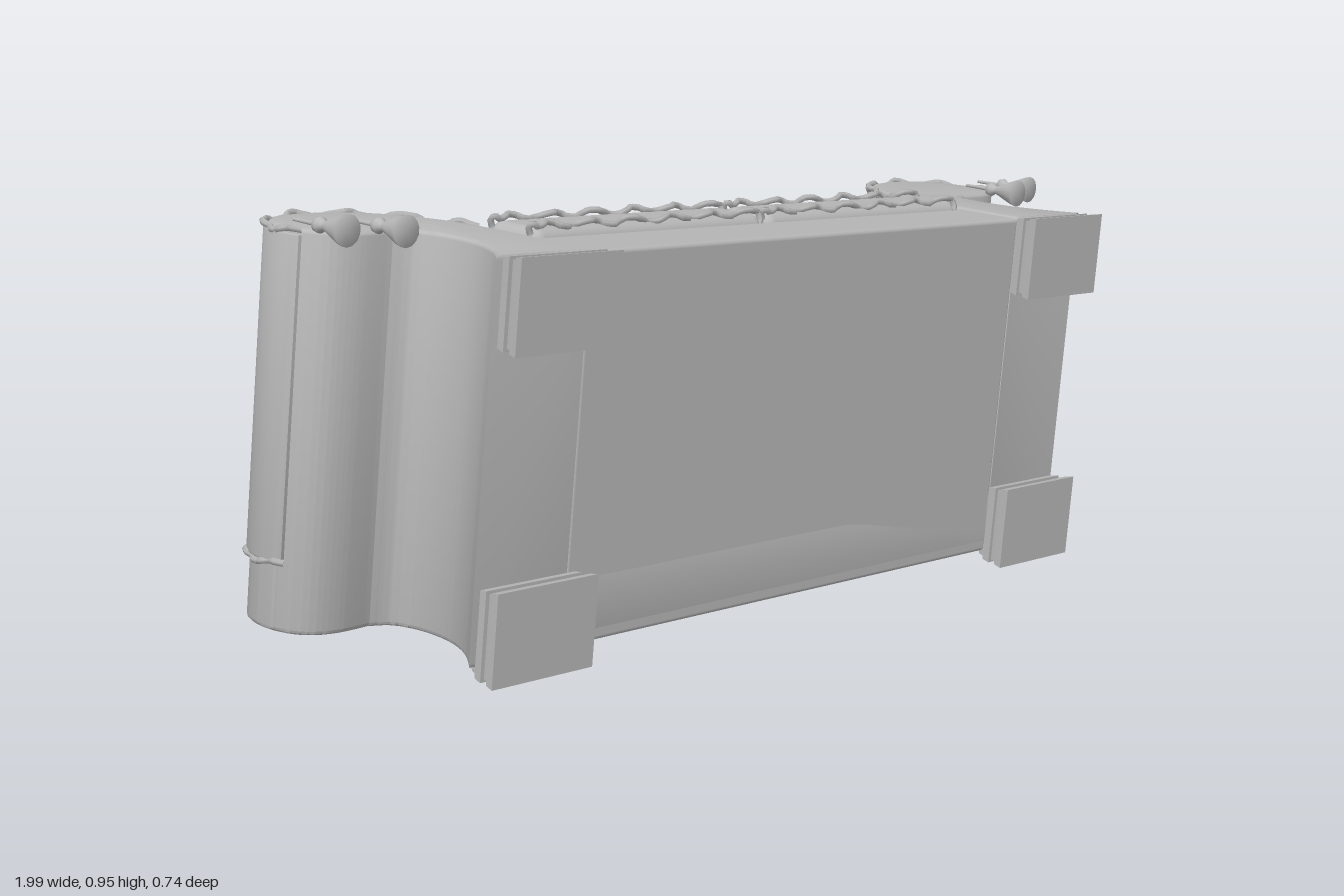
import * as THREE from 'three';
import { toCreasedNormals } from 'three/addons/utils/BufferGeometryUtils.js';
import { RoundedBoxGeometry } from 'three/addons/geometries/RoundedBoxGeometry.js';

const gray = new THREE.MeshStandardMaterial({ color: 0xb8b8b8 });
gray.name = 'grayUpholstery';

function add(parent, name, geometry, x = 0, y = 0, z = 0) {
  const mesh = new THREE.Mesh(geometry, gray);
  mesh.name = name;
  mesh.position.set(x, y, z);
  parent.add(mesh);
  return mesh;
}

const vectors = (list) => list.map(([x, y]) => new THREE.Vector2(x, y));

// Solid with a rounded rim, filling z0..z1
function slab(shape, z0, z1, bevel) {
  const geometry = new THREE.ExtrudeGeometry(shape, {
    depth: z1 - z0 - 2 * bevel, bevelThickness: bevel, bevelSize: bevel,
    bevelOffset: -bevel, bevelSegments: 3, curveSegments: 28,
  });
  geometry.translate(0, 0, z0 + bevel);
  return toCreasedNormals(geometry, 0.6);
}

// Ruffled trim: a thin tube that wobbles along a path
function ruffle(points, closed, radius = 0.006, wobble = 0.005) {
  const path = new THREE.CatmullRomCurve3(points, closed, 'catmullrom', 0.3);
  const count = Math.round(path.getLength() / 0.014);
  const wavy = path.getSpacedPoints(count).slice(0, closed ? -1 : undefined).map((p, i) => {
    const s = i % 2 ? wobble : -wobble;
    return p.add(new THREE.Vector3(s * 0.6, s * Math.cos(i * 1.7), s * Math.sin(i * 2.3)));
  });
  return new THREE.TubeGeometry(new THREE.CatmullRomCurve3(wavy, closed), count * 2, radius, 5, closed);
}

// Throw pillow: puffed grid with pinched sides and pointed corners
function pillowGeometry(width, height, thick) {
  const geometry = new THREE.BoxGeometry(2, 2, 2, 18, 18, 1);
  const p = geometry.attributes.position;
  for (let i = 0; i < p.count; i++) {
    const u = p.getX(i), v = p.getY(i);
    const puff = Math.sqrt(Math.max(0, (1 - u ** 4) * (1 - v ** 4)));
    p.setXYZ(i,
      u * width / 2 * (1 - 0.06 * (1 - v * v)),
      v * height / 2 * (1 - 0.06 * (1 - u * u)),
      p.getZ(i) * (0.006 + puff * thick / 2));
  }
  geometry.computeVertexNormals();
  return geometry;
}

function pillow(parent, x) {
  const group = new THREE.Group();
  group.name = 'backPillow';
  const w = 0.4, h = 0.41;
  add(group, 'pillowBody', pillowGeometry(w, h, 0.1));
  const rim = [];
  for (let side = 0; side < 4; side++) {
    for (let k = 0; k < 8; k++) {
      const t = -1 + k / 4;
      const [u, v] = [[t, -1], [1, t], [-t, 1], [-1, -t]][side];
      rim.push(new THREE.Vector3(u * w / 2 * (1 - 0.06 * (1 - v * v)), v * h / 2 * (1 - 0.06 * (1 - u * u)), 0));
    }
  }
  add(group, 'pillowFringe', ruffle(rim, true, 0.007, 0.006));
  group.position.set(x, 0.15, -0.075);
  group.rotation.x = -0.35;
  parent.add(group);
}

// Seat cushion with a ruffle around its upper and lower edges
function seatCushion(parent, x) {
  const w = 0.596, back = -0.2, front = 0.345;
  const body = new RoundedBoxGeometry(w, 0.122, front - back, 4, 0.025);
  add(parent, 'seatCushion', body, x, -0.105, (front + back) / 2);
  const c = 0.012;
  const [l, r, f, b] = [x - w / 2 + 0.004, x + w / 2 - 0.004, front + 0.003, back];
  for (const y of [-0.06, -0.15]) {
    const loop = [[l + c, f], [x, f], [r - c, f], [r, f - c], [r, 0], [r, b + c],
      [r - c, b], [x, b], [l + c, b], [l, b + c], [l, 0], [l, f - c]]
      .map(([px, pz]) => new THREE.Vector3(px, y, pz));
    add(parent, 'cushionFringe', ruffle(loop, true));
  }
}

// Moulded foot: stacked square tiers of [half width, half depth, y]
function foot(parent, x, z) {
  const tiers = [[-0.355, 0.018, 0.117], [-0.337, 0.014, 0.108], [-0.323, 0.018, 0.112], [-0.305, 0.016, 0.102]];
  tiers.forEach(([y, height, half]) => {
    const g = new THREE.CylinderGeometry(half * 0.96 * Math.SQRT2, half * Math.SQRT2, height, 4, 1).toNonIndexed();
    g.rotateY(Math.PI / 4);
    g.scale(1, 1, 0.68);
    g.computeVertexNormals();
    add(parent, 'footTier', g, x, y + height / 2, z);
  });
}

// Tassel hanging from a cord
function tassel(parent, x, y) {
  const profile = vectors([[0, 0], [0.027, 0], [0.024, 0.012], [0.009, 0.05], [0.008, 0.056],
    [0.014, 0.064], [0.012, 0.074], [0.004, 0.08], [0.003, 0.13], [0, 0.13]]);
  add(parent, 'tassel', new THREE.LatheGeometry(profile, 14), x, y, 0.348);
}

// Scrolled arm, built on the +x side
function arm() {
  const group = new THREE.Group();
  const roll = vectors([[0.61, -0.03], [0.63, 0.04], [0.67, 0.105], [0.73, 0.149], [0.8, 0.166], [0.875, 0.158],
    [0.928, 0.127], [0.95, 0.075], [0.947, 0.02], [0.92, -0.02], [0.87, -0.037], [0.8, -0.035]]);
  const shape = new THREE.Shape();
  shape.moveTo(0.61, -0.3);
  shape.lineTo(0.61, -0.03);
  shape.splineThru(roll.slice(1));
  shape.splineThru(vectors([[0.762, -0.055], [0.745, -0.11], [0.752, -0.18], [0.782, -0.245], [0.825, -0.3]]));
  shape.lineTo(0.61, -0.3);
  add(group, 'armBody', slab(shape, -0.338, 0.335, 0.008));

  // Fitted cover over the roll
  const top = new THREE.SplineCurve(roll.slice(0, 9)).getPoints(30);
  const offset = (d) => top.map((p, i) => {
    const a = top[Math.max(0, i - 1)], b = top[Math.min(top.length - 1, i + 1)];
    const t = b.clone().sub(a).normalize();
    return new THREE.Vector2(p.x - t.y * d, p.y + t.x * d);
  });
  const cover = new THREE.Shape([...offset(-0.004), ...offset(0.007).reverse()]);
  add(group, 'armCover', slab(cover, -0.22, 0.325, 0.002));

  // Ruffles at both ends of the cover
  for (const z of [-0.222, 0.33]) {
    const line = offset(0.005).filter((p, i) => i % 2 === 0).map((p) => new THREE.Vector3(p.x, p.y, z));
    add(group, 'armFringe', ruffle(line, false));
  }
  tassel(group, 0.857, -0.128);
  tassel(group, 0.95, -0.092);
  foot(group, 0.708, 0.26);
  foot(group, 0.708, -0.28);
  return group;
}

export function createModel() {
  const root = new THREE.Group();
  root.name = 'sofa';
  const sofa = new THREE.Group();
  sofa.name = 'tippedSofa';
  root.add(sofa);

  // Base rail
  add(sofa, 'base', new RoundedBoxGeometry(1.224, 0.137, 0.67, 3, 0.008), 0, -0.2315, -0.004);

  // Humped backrest
  const back = new THREE.Shape();
  back.moveTo(-0.64, -0.3);
  back.lineTo(0.64, -0.3);
  back.lineTo(0.66, 0);
  back.lineTo(0.8, 0.05);
  back.splineThru(vectors([[0.805, 0.12], [0.75, 0.195], [0.62, 0.252], [0.4, 0.283], [0.2, 0.308], [0, 0.318],
    [-0.2, 0.308], [-0.4, 0.283], [-0.62, 0.252], [-0.75, 0.195], [-0.805, 0.12], [-0.8, 0.05]]));
  back.lineTo(-0.66, 0);
  back.lineTo(-0.64, -0.3);
  add(sofa, 'backrest', slab(back, -0.342, -0.2, 0.025));

  // Cushions
  for (const x of [-0.302, 0.302]) seatCushion(sofa, x);
  for (const x of [-0.4, 0.013, 0.42]) pillow(sofa, x);

  // Mirrored arms
  for (const side of [1, -1]) {
    const a = arm();
    a.name = side > 0 ? 'leftArm' : 'rightArm';
    a.scale.x = side;
    sofa.add(a);
  }

  // Lying on its back, slightly askew
  const deg = Math.PI / 180;
  sofa.rotation.set(-90 * deg, -1.2 * deg, -7 * deg, 'YZX');
  root.updateMatrixWorld(true);
  const box = new THREE.Box3().setFromObject(root, true);
  const centre = box.getCenter(new THREE.Vector3());
  sofa.position.set(-centre.x, -box.min.y, -centre.z);
  return root;
}
